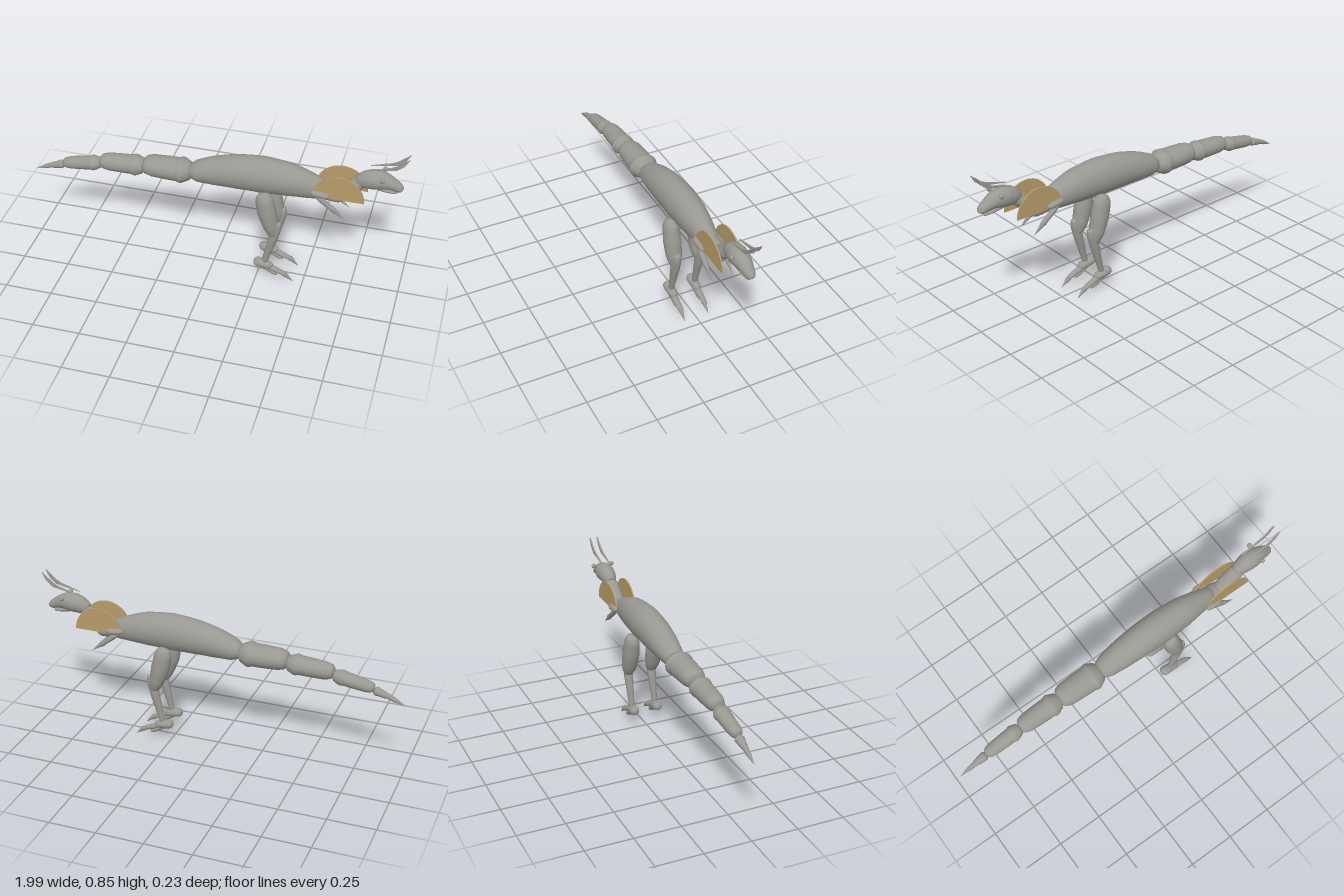
import * as THREE from 'three';

const hide = new THREE.MeshStandardMaterial({ color: 0x9a9892 });
hide.name = 'grey hide';
const tan = new THREE.MeshStandardMaterial({ color: 0xb89c6a });
tan.name = 'tan frill';

// Skin over rings [x, y, radius in the side plane, radius across], smoothed along the spine
function loft(name, rings, z = 0, steps = 4, sides = 20) {
  const centre = new THREE.CatmullRomCurve3(rings.map(r => new THREE.Vector3(r[0], r[1], 0)));
  const n = (rings.length - 1) * steps;
  const pos = [], index = [];
  for (let i = 0; i <= n; i++) {
    const t = i / n, k = Math.min(Math.floor(i / steps), rings.length - 2), f = i / steps - k;
    const p = centre.getPoint(t), d = centre.getTangent(t);
    const rad = c => THREE.MathUtils.lerp(rings[k][c], rings[k + 1][c], f);
    for (let j = 0; j < sides; j++) {
      const a = j / sides * Math.PI * 2, u = Math.cos(a) * rad(2);
      pos.push(p.x - d.y * u, p.y + d.x * u, z + Math.sin(a) * rad(3));
      if (i === n) continue;
      const q = i * sides + j, r = i * sides + (j + 1) % sides;
      index.push(q, r, q + sides, r, r + sides, q + sides);
    }
  }
  const g = new THREE.BufferGeometry();
  g.setAttribute('position', new THREE.Float32BufferAttribute(pos, 3));
  g.setIndex(index);
  g.computeVertexNormals();
  const m = new THREE.Mesh(g, hide);
  m.name = name;
  return m;
}

// Rounded bone from (x0,y0) to (x1,y1) with side and across radii at each end
function bone(name, x0, y0, x1, y1, a, b, z = 0, wide = 1) {
  const rings = [];
  for (const [t, s] of [[0, 0], [0.03, 0.45], [0.09, 0.75], [0.2, 0.95], [0.4, 1], [0.6, 1], [0.8, 0.95], [0.91, 0.75], [0.97, 0.45], [1, 0]]) {
    const r = (a + (b - a) * t) * s;
    rings.push([x0 + (x1 - x0) * t, y0 + (y1 - y0) * t, r, r * wide]);
  }
  return loft(name, rings, z, 2);
}

// Thin flat plate cut from a side outline
function plate(name, shape, depth, z, mat) {
  const g = new THREE.ExtrudeGeometry(shape, { depth, bevelEnabled: false, curveSegments: 28 });
  g.translate(0, 0, z - depth / 2);
  const m = new THREE.Mesh(g, mat);
  m.name = name;
  return m;
}

function ball(name, x, y, z, r) {
  const m = new THREE.Mesh(new THREE.SphereGeometry(r, 16, 12), hide);
  m.position.set(x, y, z);
  m.name = name;
  return m;
}

export function createModel() {
  const model = new THREE.Group();
  model.name = 'lizard';

  // Torso, chest and neck
  model.add(loft('torso', [
    [-0.135, 0.57, 0, 0], [-0.125, 0.57, 0.035, 0.042], [-0.09, 0.575, 0.057, 0.06], [0, 0.593, 0.077, 0.073],
    [0.12, 0.61, 0.093, 0.082], [0.26, 0.617, 0.1, 0.085], [0.4, 0.612, 0.09, 0.076],
    [0.5, 0.597, 0.071, 0.06], [0.57, 0.584, 0.053, 0.046], [0.6, 0.58, 0.03, 0.028], [0.605, 0.58, 0, 0],
  ]));
  model.add(bone('chest', 0.53, 0.59, 0.69, 0.56, 0.045, 0.037, 0, 1.2));
  model.add(bone('neck', 0.62, 0.565, 0.78, 0.68, 0.036, 0.036, 0, 1.15));

  // Tail segments: rear, front, rear radius, front radius
  const segments = [
    [-0.385, 0.563, -0.115, 0.565, 0.053, 0.068, 1.15],
    [-0.625, 0.54, -0.37, 0.552, 0.043, 0.057, 1.1],
    [-0.835, 0.488, -0.615, 0.527, 0.03, 0.042, 1.1],
    [-0.91, 0.455, -0.83, 0.48, 0.014, 0.025, 1.1],
  ];
  for (const [x0, y0, x1, y1, a, b, w] of segments) {
    const rings = [[0, 0], [0.02, 0.6], [0.07, 0.86], [0.2, 1], [0.55, 0.98], [0.7, 0.95], [0.75, 1.02], [0.8, 1.02], [0.94, 0.72], [0.985, 0.45], [1, 0]]
      .map(([t, s]) => {
        const r = (a + (b - a) * t) * s;
        return [x0 + (x1 - x0) * t, y0 + (y1 - y0) * t, r, r * w];
      });
    model.add(loft('tailSegment', rings, 0, 2));
  }
  model.add(loft('tailTip', [[-1, 0.417, 0, 0], [-0.94, 0.443, 0.012, 0.012], [-0.895, 0.462, 0.015, 0.015], [-0.885, 0.465, 0, 0]]));

  // Head with a separate lower jaw
  model.add(loft('head', [
    [0.735, 0.668, 0, 0], [0.74, 0.67, 0.028, 0.028], [0.775, 0.684, 0.045, 0.042], [0.815, 0.694, 0.052, 0.049],
    [0.85, 0.697, 0.05, 0.049], [0.885, 0.693, 0.041, 0.042], [0.92, 0.681, 0.03, 0.033],
    [0.95, 0.666, 0.023, 0.026], [0.963, 0.657, 0.014, 0.016], [0.966, 0.654, 0, 0],
  ]));
  model.add(bone('lowerJaw', 0.83, 0.66, 0.945, 0.635, 0.018, 0.009, 0, 1.7));

  // Swept horns
  const horn = new THREE.Shape([[0.795, 0.755], [0.93, 0.78], [0.965, 0.81], [0.99, 0.853], [0.93, 0.802], [0.9, 0.787]]
    .map(p => new THREE.Vector2(...p)));
  for (const z of [0.017, -0.026]) model.add(plate('horn', horn, 0.009, z, hide));

  // Half disc frill
  const frill = new THREE.Shape();
  frill.absarc(0.656, 0.574, 0.133, 0, Math.PI);
  frill.closePath();

  for (const s of [1, -1]) {
    const side = s > 0 ? 'front' : 'back';
    model.add(ball(side + 'Eye', 0.868, 0.729, 0.053 * s, 0.013));
    model.add(plate(side + 'Frill', frill, 0.007, 0.054 * s, tan));

    // Arm
    const arm = new THREE.Group();
    arm.name = side + 'Arm';
    arm.add(bone('upperArm', 0.515, 0.598, 0.613, 0.585, 0.018, 0.016, 0.06 * s));
    arm.add(loft('forearm', [[0.53, 0.592, 0, 0], [0.54, 0.584, 0.012, 0.012], [0.58, 0.553, 0.015, 0.014],
      [0.625, 0.518, 0.013, 0.013], [0.635, 0.51, 0.016, 0.013], [0.703, 0.455, 0, 0]], 0.056 * s));
    model.add(arm);

    // Leg
    const leg = new THREE.Group(), z = 0.068 * s;
    leg.name = side + 'Leg';
    leg.add(loft('thigh', [[0.275, 0.55, 0, 0], [0.277, 0.542, 0.03, 0.028], [0.283, 0.51, 0.047, 0.04], [0.3, 0.43, 0.05, 0.046],
      [0.322, 0.35, 0.04, 0.042], [0.337, 0.3, 0.024, 0.027], [0.34, 0.285, 0, 0]], z));
    leg.add(loft('shin', [[0.362, 0.38, 0, 0], [0.36, 0.373, 0.016, 0.018], [0.352, 0.34, 0.026, 0.024],
      [0.335, 0.27, 0.025, 0.024], [0.312, 0.18, 0.019, 0.018], [0.295, 0.11, 0.014, 0.014], [0.293, 0.1, 0, 0]], z));
    leg.add(bone('heel', 0.235, 0.104, 0.34, 0.083, 0.027, 0.02, z, 1.1));
    leg.add(bone('foot', 0.3, 0.086, 0.42, 0.04, 0.016, 0.011, z, 1.2));
    leg.add(bone('innerToe', 0.275, 0.09, 0.365, 0.032, 0.016, 0.011, z, 1.2));
    leg.add(loft('claw', [[0.395, 0.052, 0, 0], [0.405, 0.044, 0.015, 0.014], [0.453, 0.002, 0, 0]], z));
    model.add(leg);
  }
  return model;
}
